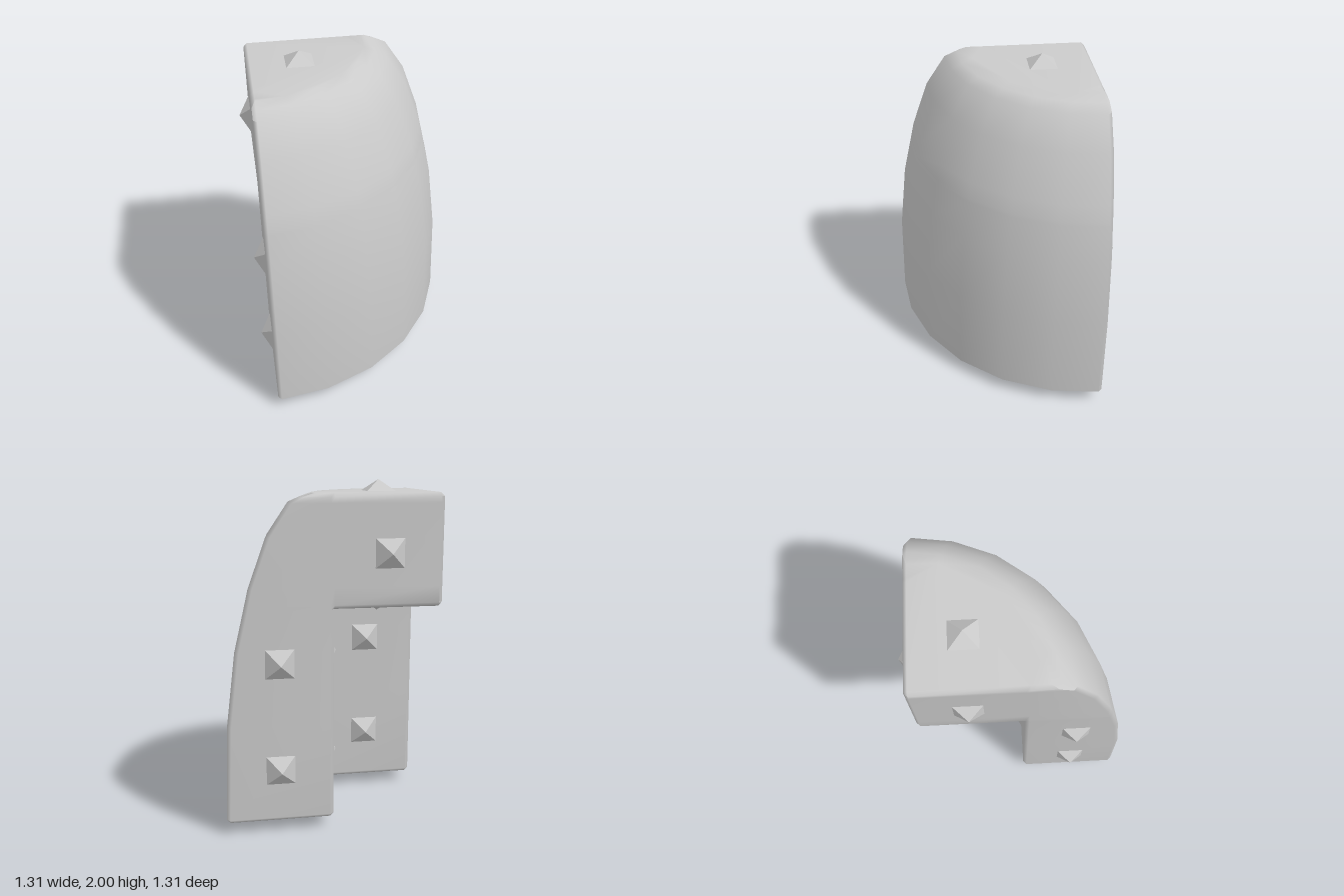
import * as THREE from 'three';

const C = -0.595;   // x and z of the two flat walls
const N = 0.62;     // width of the notch, one cell
const B = 0.022;    // edge bevel
const CEIL = 1.3;   // height of the notch ceiling

// Horizontal outline of the quarter dome: radius R, inset d, kind of inner corner.
function outline(y, R, d, kind) {
  const edge = [[N + B, d], [R - B, d], [R, B]];
  const arc = [15, 30, 45, 60, 75].map((a) => {
    const t = THREE.MathUtils.degToRad(a);
    return [R * Math.cos(t), R * Math.sin(t)];
  });
  const corner = {
    notch: [[N + d, N + d], [N + d, B]],
    ceiling: [[B, B], [N, B]],
    full: [[B, d], [N, d]],
  }[kind];
  const mirror = (list) => list.map(([u, w]) => [w, u]).reverse();
  return [...edge, ...arc, ...mirror(edge), ...mirror(corner), ...corner]
    .map(([u, w]) => new THREE.Vector3(C + u, y, C + w));
}

// Area-weighted smooth normals that keep edges sharper than the crease angle.
function creasedGeometry(tris, crease) {
  const key = (p) => p.toArray().map((v) => Math.round(v * 1e4)).join();
  const around = new Map();
  const faces = [];
  for (const p of tris) {
    const area = p[1].clone().sub(p[0]).cross(p[2].clone().sub(p[0]));
    if (area.length() < 1e-8) continue;
    const face = { p, area, unit: area.clone().normalize() };
    faces.push(face);
    for (const v of p) {
      const k = key(v);
      if (!around.has(k)) around.set(k, []);
      around.get(k).push(face);
    }
  }
  const positions = [], normals = [];
  for (const f of faces) {
    for (const v of f.p) {
      const n = new THREE.Vector3();
      for (const g of around.get(key(v))) {
        if (g.unit.dot(f.unit) > Math.cos(crease)) n.add(g.area);
      }
      positions.push(...v.toArray());
      normals.push(...n.normalize().toArray());
    }
  }
  const geo = new THREE.BufferGeometry();
  geo.setAttribute('position', new THREE.Float32BufferAttribute(positions, 3));
  geo.setAttribute('normal', new THREE.Float32BufferAttribute(normals, 3));
  return geo;
}

// Flat cap over an outline, facing up (1) or down (-1).
function cap(loop, facing) {
  const flat = loop.map((p) => new THREE.Vector2(p.x, p.z));
  return THREE.ShapeUtils.triangulateShape(flat, []).map((f) => {
    const [a, b, c] = f.map((i) => loop[i]);
    const up = b.clone().sub(a).cross(c.clone().sub(a)).y;
    return up * facing > 0 ? [a, b, c] : [a, c, b];
  });
}

function bodyGeometry() {
  // Rows from the bottom to the top: height, radius, inset, inner corner
  const rows = [
    [0.065, 1.223, B, 'notch'],
    [0.087, 1.245, 0, 'notch'],
    [0.64, 1.23, 0, 'notch'],
    [1.07, 1.18, 0, 'notch'],
    [CEIL, 1.127, 0, 'notch'],
    [CEIL, 1.127, 0, 'ceiling'],
    [CEIL + B, 1.122, 0, 'full'],
    [1.42, 1.1, 0, 'full'],
    [1.7, 1.0, 0, 'full'],
    [1.88, 0.88, 0, 'full'],
    [1.913, 0.806, 0, 'full'],
    [1.935, 0.745, B, 'full'],
  ].map((r) => outline(...r));

  const tris = [...cap(rows[0], -1), ...cap(rows[rows.length - 1], 1)];
  for (let r = 0; r < rows.length - 1; r++) {
    const lo = rows[r], hi = rows[r + 1];
    for (let i = 0; i < lo.length; i++) {
      const j = (i + 1) % lo.length;
      tris.push([lo[i], hi[i], lo[j]], [lo[j], hi[i], hi[j]]);
    }
  }
  return creasedGeometry(tris, 1.0);
}

export function createModel() {
  const model = new THREE.Group();
  model.name = 'quarterDomeBlock';

  const body = new THREE.Mesh(bodyGeometry(), new THREE.MeshStandardMaterial({ color: 0xcccccc }));
  body.name = 'body';
  model.add(body);

  // Pyramid studs in the middle of each cell face
  const studs = new THREE.Group();
  studs.name = 'studs';
  model.add(studs);
  const H = 0.065;
  const studGeo = new THREE.ConeGeometry(0.0825 * Math.SQRT2, H, 4, 1, true);
  studGeo.rotateY(Math.PI / 4);
  studGeo.translate(0, H / 2, 0);
  const studMat = new THREE.MeshStandardMaterial({ color: 0xcccccc, flatShading: true });
  const up = new THREE.Vector3(0, 1, 0);
  const addStud = (name, position, normal) => {
    const stud = new THREE.Mesh(studGeo, studMat);
    stud.name = name;
    stud.position.set(...position);
    stud.quaternion.setFromUnitVectors(up, new THREE.Vector3(...normal));
    studs.add(stud);
  };

  const near = C + 0.31, far = near + N, wall = C + N;
  const low = 0.377, mid = 1.0, high = 1.605;
  addStud('topStud', [near, 1.935, near], [0, 1, 0]);
  addStud('ceilingStud', [near, CEIL, near], [0, -1, 0]);

  // Studs that repeat on both sides of the diagonal
  for (const swap of [false, true]) {
    const add = (name, [x, y, z], [nx, ny, nz]) => (swap
      ? addStud(name, [z, y, x], [nz, ny, nx])
      : addStud(name, [x, y, z], [nx, ny, nz]));
    add('bottomStud', [far, 0.065, near], [0, -1, 0]);
    add('wallStud', [near, high, C], [0, 0, -1]);
    for (const y of [low, mid]) {
      add('wallStud', [far, y, C], [0, 0, -1]);
      add('notchStud', [near, y, wall], [0, 0, -1]);
    }
  }
  return model;
}
